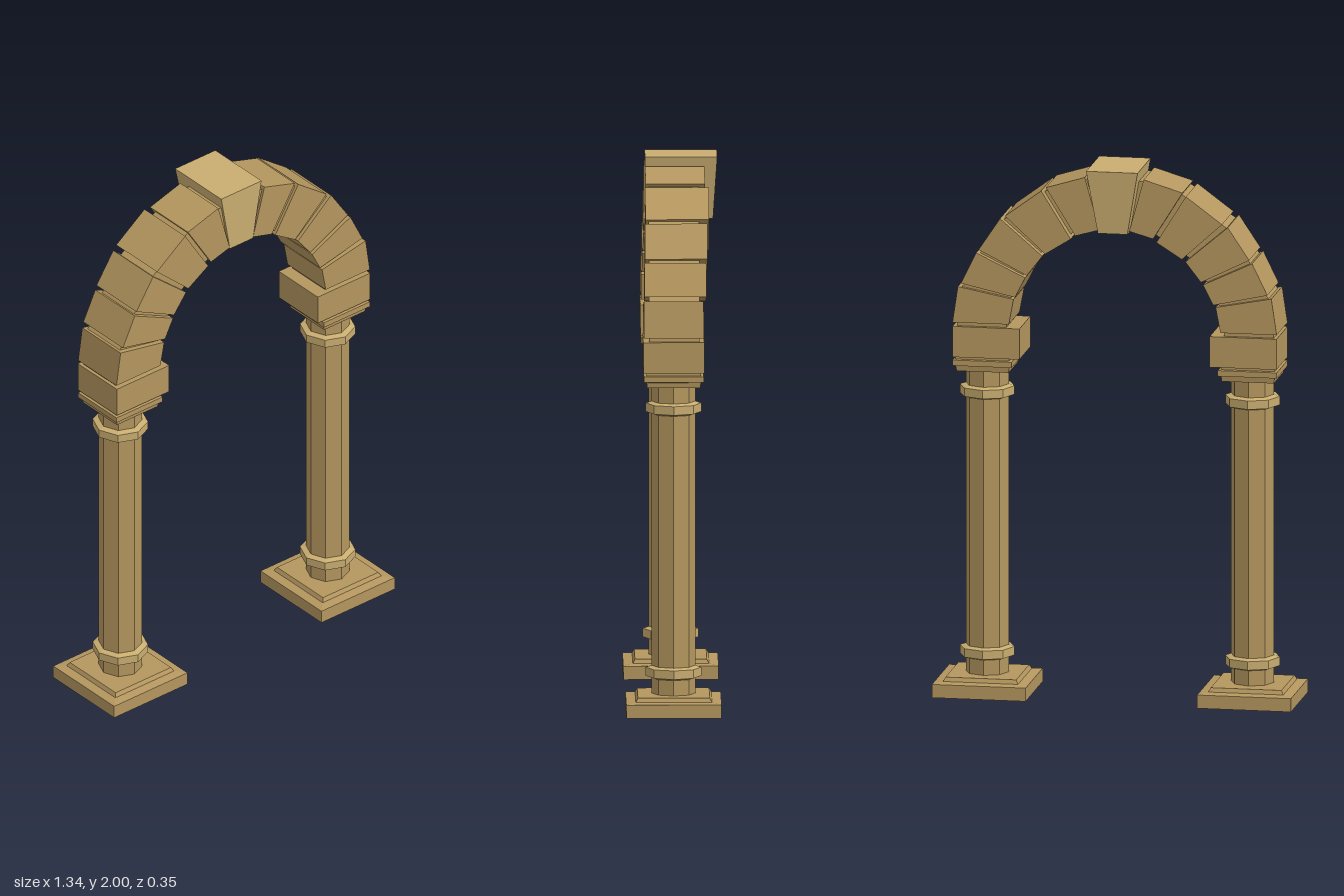
import * as THREE from 'three';

const stone = new THREE.MeshStandardMaterial({ color: 0xb5975f, flatShading: true, side: THREE.DoubleSide });
const paleStone = new THREE.MeshStandardMaterial({ color: 0xc9ad70, flatShading: true, side: THREE.DoubleSide });

function add(parent, name, geometry, material = stone) {
  const mesh = new THREE.Mesh(geometry, material);
  mesh.name = name;
  parent.add(mesh);
  return mesh;
}

// Profile [half width, y] turned into a square moulding
function squareTurn(profile) {
  return new THREE.LatheGeometry(profile.map(([r, y]) => new THREE.Vector2(r * Math.SQRT2, y)), 4, Math.PI / 4);
}

// Profile [radius, y] turned into an eight-sided moulding
function octagonTurn(profile) {
  return new THREE.LatheGeometry(profile.map(([r, y]) => new THREE.Vector2(r, y)), 8);
}

// Outline in the front plane, given a thickness between two depths
function slab(outline, back, front) {
  const shape = new THREE.Shape(outline.map(([x, y]) => new THREE.Vector2(x, y)));
  const geometry = new THREE.ExtrudeGeometry(shape, { depth: front - back, bevelEnabled: false });
  return geometry.translate(0, 0, back);
}

function column(name, side) {
  const group = new THREE.Group();
  group.name = name;
  group.position.x = side * 0.495;
  // Stepped plinth, hollow underneath
  add(group, 'plinth', squareTurn([[0.175, 0], [0.175, 0.05], [0.14, 0.055], [0.132, 0.07], [0, 0.07]]));
  add(group, 'shaft', octagonTurn([[0, 0.05], [0.08, 0.05], [0.08, 1.225], [0, 1.225]]));
  // Collars near the foot and the head of the shaft
  for (const [part, y] of [['lowerCollar', 0.13], ['upperCollar', 1.11]]) {
    add(group, part, octagonTurn([[0.08, y - 0.003], [0.102, y + 0.004], [0.102, y + 0.036], [0.08, y + 0.043]]), paleStone);
  }
  add(group, 'capital', squareTurn([
    [0, 1.215], [0.097, 1.215], [0.1, 1.235], [0.11, 1.237], [0.11, 1.258], [0.1, 1.26], [0.1, 1.275], [0, 1.275],
  ]));
  return group;
}

// Arch stones on the left half: outer low, outer high, inner high, inner low, back depth, front depth
const archStones = [
  [[0.605, 1.4], [0.585, 1.535], [0.377, 1.495], [0.395, 1.4], -0.11, 0.11],
  [[0.572, 1.55], [0.515, 1.667], [0.332, 1.58], [0.37, 1.505], -0.12, 0.107],
  [[0.505, 1.68], [0.425, 1.8], [0.267, 1.665], [0.325, 1.59], -0.125, 0.104],
  [[0.405, 1.812], [0.27, 1.912], [0.16, 1.735], [0.255, 1.675], -0.132, 0.102],
  [[0.255, 1.922], [0.11, 1.966], [0.056, 1.77], [0.145, 1.745], -0.118, 0.1],
];

export function createModel() {
  const model = new THREE.Group();
  model.name = 'archway';
  const arch = new THREE.Group();
  arch.name = 'arch';

  for (const [word, side] of [['left', 1], ['right', -1]]) {
    model.add(column(word + 'Column', side));

    // Block at the springing of the arch
    const impost = add(arch, word + 'Impost', new THREE.BoxGeometry(0.25, 0.115, 0.224));
    impost.position.set(side * 0.48, 1.3275, 0);

    archStones.forEach(([a, b, c, d, back, front], i) => {
      const outline = [a, b, c, d].map(([x, y]) => [side * x, y]);
      add(arch, word + 'ArchStone' + (i + 1), slab(outline, back, front));
    });
  }

  // Keystone, its back leaning outward toward the top
  const wedge = slab([[-0.055, 1.765], [0.055, 1.765], [0.096, 2], [-0.096, 2]], -0.165, 0.1);
  const p = wedge.attributes.position;
  for (let i = 0; i < p.count; i++) {
    if (p.getZ(i) < 0 && p.getY(i) < 1.9) p.setZ(i, -0.15);
  }
  add(arch, 'keystone', wedge, paleStone);

  // Recessed mortar that follows the joints between the stones
  const inset = (p, q, t) => [p[0] + (q[0] - p[0]) * t, p[1] + (q[1] - p[1]) * t];
  const outer = [], inner = [];
  for (const [a, b, c, d] of archStones) {
    outer.push(inset(a, d, 0.06), inset(b, c, 0.06));
    inner.push(inset(d, a, 0.06), inset(c, b, 0.06));
  }
  outer[0][1] = inner[0][1] = 1.38;
  const mirror = (points) => points.map(([x, y]) => [-x, y]).reverse();
  add(arch, 'mortar', slab([...outer, ...mirror(outer), ...mirror(inner).reverse(), ...[...inner].reverse()], -0.095, 0.09));

  model.add(arch);
  return model;
}
